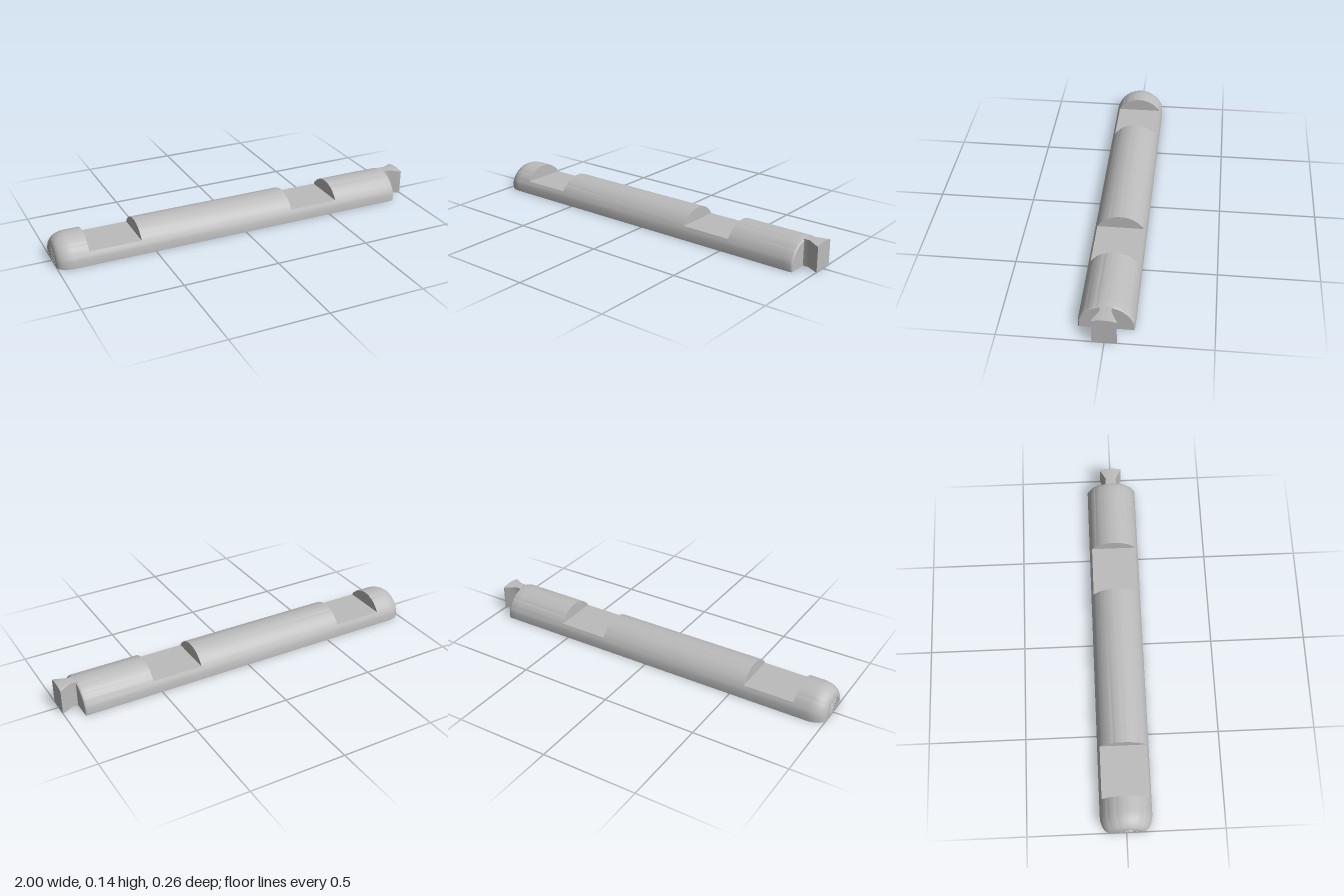
import * as THREE from 'three';
import { toCreasedNormals } from 'three/addons/utils/BufferGeometryUtils.js';

const R = 0.138;          // log radius
const SIDE = 0.132;       // half width where the sides are trimmed flat
const FLOOR = 0.07;       // height of the notch floors
const NOTCHES = [[-0.84, -0.57], [0.27, 0.54]];

// Skin closed rings of [x, y, z] points, skipping collapsed triangles
function loft(rings, crease) {
  const pos = [];
  const a = new THREE.Vector3(), b = new THREE.Vector3(), c = new THREE.Vector3();
  const tri = (p, q, r) => {
    a.fromArray(p); b.fromArray(q); c.fromArray(r);
    if (b.sub(a).cross(c.sub(a)).length() > 1e-8) pos.push(...p, ...q, ...r);
  };
  for (let i = 0; i < rings.length - 1; i++) {
    const p = rings[i], q = rings[i + 1], n = p.length;
    for (let j = 0; j < n; j++) {
      const k = (j + 1) % n;
      tri(p[j], q[j], p[k]);
      tri(q[j], q[k], p[k]);
    }
  }
  const geo = new THREE.BufferGeometry();
  geo.setAttribute('position', new THREE.Float32BufferAttribute(pos, 3));
  return toCreasedNormals(geo, crease);
}

// Shallow lengthwise wood grain, as a depth below the round surface
function grain(x, t) {
  const wave = Math.sin(t * 17 + 0.9 * Math.sin(x * 2.3 + t * 2) + x * 0.5);
  const patch = 0.5 + 0.5 * Math.sin(x * 3.1 + t * 5);
  return 0.0022 * Math.pow(Math.max(0, wave), 6) * patch;
}

// Half-round section: flat sides, round top, optionally cut down to a ceiling
function logRing(x, scale = 1, ceiling = 1) {
  const t0 = Math.acos(SIDE / R), tf = Math.asin(FLOOR / R), n = 48;
  const angles = [t0, (t0 + tf) / 2];
  for (let i = 0; i <= n; i++) angles.push(tf + (Math.PI - 2 * tf) * i / n);
  angles.push(Math.PI - (t0 + tf) / 2, Math.PI - t0);
  const pts = [[x, 0, SIDE * scale]];
  angles.forEach((t, i) => {
    const edge = i === 0 || i === angles.length - 1;
    const r = (R - (edge ? 0 : grain(x, t))) * scale;
    pts.push([x, Math.min(r * Math.sin(t), ceiling), r * Math.cos(t)]);
  });
  pts.push([x, 0, -SIDE * scale]);
  return pts;
}

function logGeometry() {
  const rings = [];
  // Left end face with growth-ring grooves
  rings.push(logRing(-1, 0));
  for (let s = 0.1; s < 0.55; s += 0.1) {
    rings.push(logRing(-1, s), logRing(-0.997, s + 0.02), logRing(-1, s + 0.04));
  }
  // Rounded left end
  for (let i = 0; i <= 10; i++) {
    const t = (i / 10) * Math.PI / 2;
    rings.push(logRing(-0.915 - 0.085 * Math.cos(t), 0.6 + 0.4 * Math.sin(t)));
  }
  // Straight trunk, with a doubled ring at each notch wall
  const run = (x0, x1, ceiling) => {
    const n = Math.ceil((x1 - x0) / 0.04);
    for (let i = 0; i <= n; i++) rings.push(logRing(x0 + (x1 - x0) * i / n, 1, ceiling));
  };
  let x = -0.915;
  for (const [n0, n1] of NOTCHES) {
    run(x, n0, 1);
    run(n0, n1, FLOOR);
    x = n1;
  }
  run(x, 0.9, 1);
  // Softened right end
  rings.push(logRing(0.907, 0.985), logRing(0.91, 0.96), logRing(0.91, 0));
  return loft(rings, 0.6);
}

// Flared joint tongue with a gently curved top
function tongueGeometry() {
  const ring = (x, w, closed) => {
    const pts = [[x, 0, w]];
    for (let i = 0; i <= 12; i++) {
      const z = w * (1 - i / 6);
      pts.push([x, R - 2.4 * z * z, z]);
    }
    pts.push([x, 0, -w]);
    return closed ? pts.map(() => [x, 0.06, 0]) : pts;
  };
  return loft([
    ring(0.905, 0.029), ring(0.933, 0.027), ring(0.94, 0.028),
    ring(0.993, 0.057), ring(1, 0.058), ring(1, 0.058, true),
  ], 0.5);
}

export function createModel() {
  const group = new THREE.Group();
  group.name = 'notchedHalfLog';
  const wood = new THREE.MeshStandardMaterial({ color: 0xbcbcbc });
  wood.name = 'plain grey';

  const add = (name, geometry) => {
    const mesh = new THREE.Mesh(geometry, wood);
    mesh.name = name;
    group.add(mesh);
  };
  add('halfLog', logGeometry());
  add('dovetailTongue', tongueGeometry());
  return group;
}
